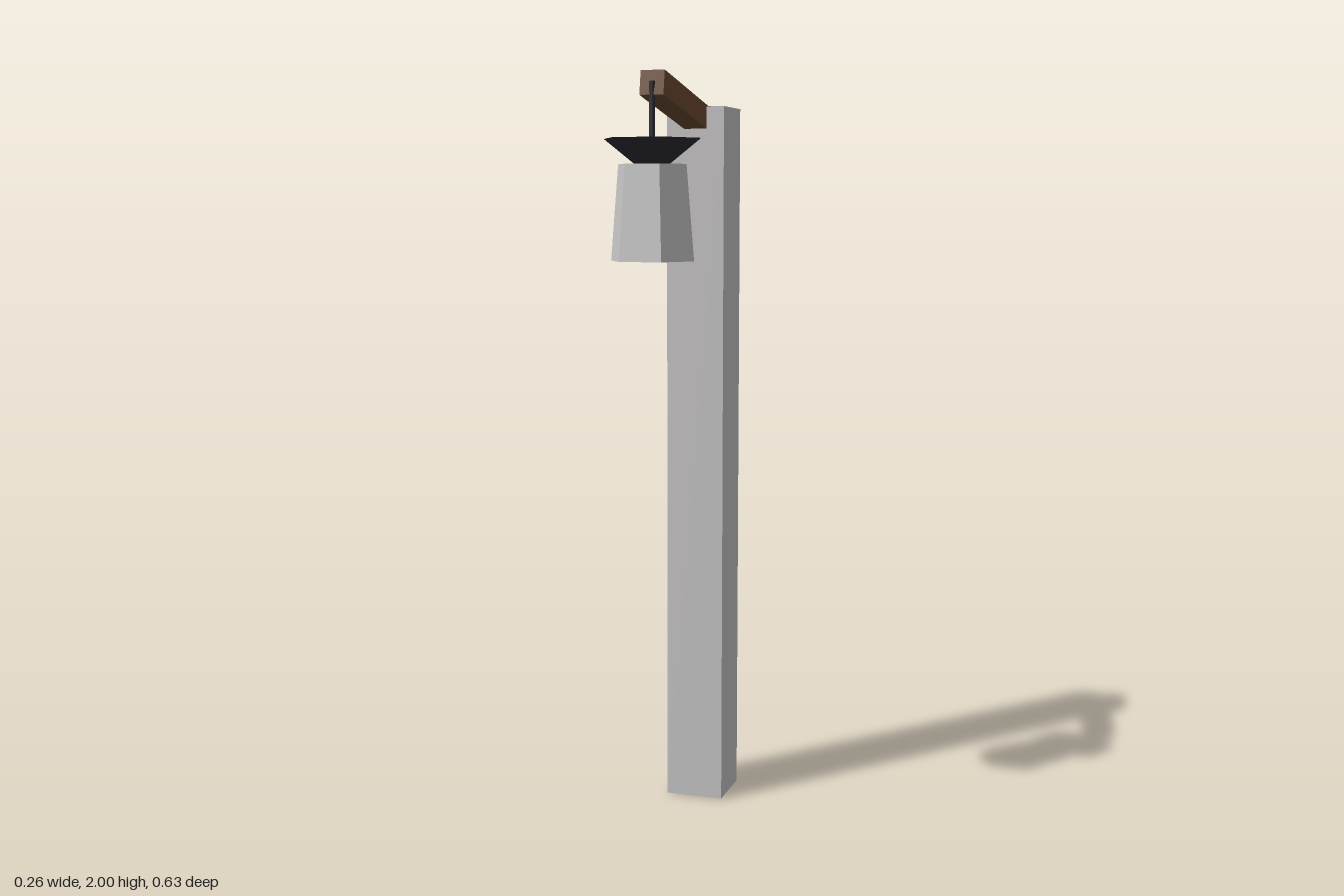
import * as THREE from 'three';

const mat = (name, color) => {
  const m = new THREE.MeshStandardMaterial({ color });
  m.name = name;
  return m;
};

export function createModel() {
  const stone = mat('stone grey', 0xc6c4c4);
  const wood = mat('brown wood', 0x6b4a33);
  const iron = mat('dark iron', 0x2d2c34);
  const glass = mat('pale glass', 0xc8c8c8);
  const model = new THREE.Group();
  model.name = 'lanternPost';

  const add = (name, geometry, material, x, y, z) => {
    const mesh = new THREE.Mesh(geometry, material);
    mesh.name = name;
    mesh.position.set(x, y, z);
    model.add(mesh);
    return mesh;
  };

  // Six-sided flat-shaded frustum with corners on the x axis
  const hex = (top, bottom, height) => {
    const g = new THREE.CylinderGeometry(top, bottom, height, 6).rotateY(Math.PI / 6).toNonIndexed();
    g.computeVertexNormals();
    return g;
  };

  // Square post with a wooden core showing at both ends
  const postZ = -0.238;
  add('post', new THREE.BoxGeometry(0.16, 1.928, 0.16), stone, 0, 0.966, postZ);
  add('postCore', new THREE.BoxGeometry(0.112, 1.932, 0.112), wood, 0, 0.966, postZ);

  // Arm rising towards the front, its back end buried in the post
  const arm = add('arm', new THREE.BoxGeometry(0.063, 0.062, 0.44), wood, 0, 1.93, -0.012);
  arm.rotation.x = -0.182;

  // Hanging lantern: rod, flared cap and tapered body
  const lampZ = 0.205;
  add('hangingRod', hex(0.008, 0.008, 0.16), iron, 0, 1.893, lampZ);
  add('lanternCap', hex(0.128, 0.045, 0.064), iron, 0, 1.801, lampZ);
  add('lanternBody', hex(0.09, 0.11, 0.24), glass, 0, 1.65, lampZ);

  return model;
}
